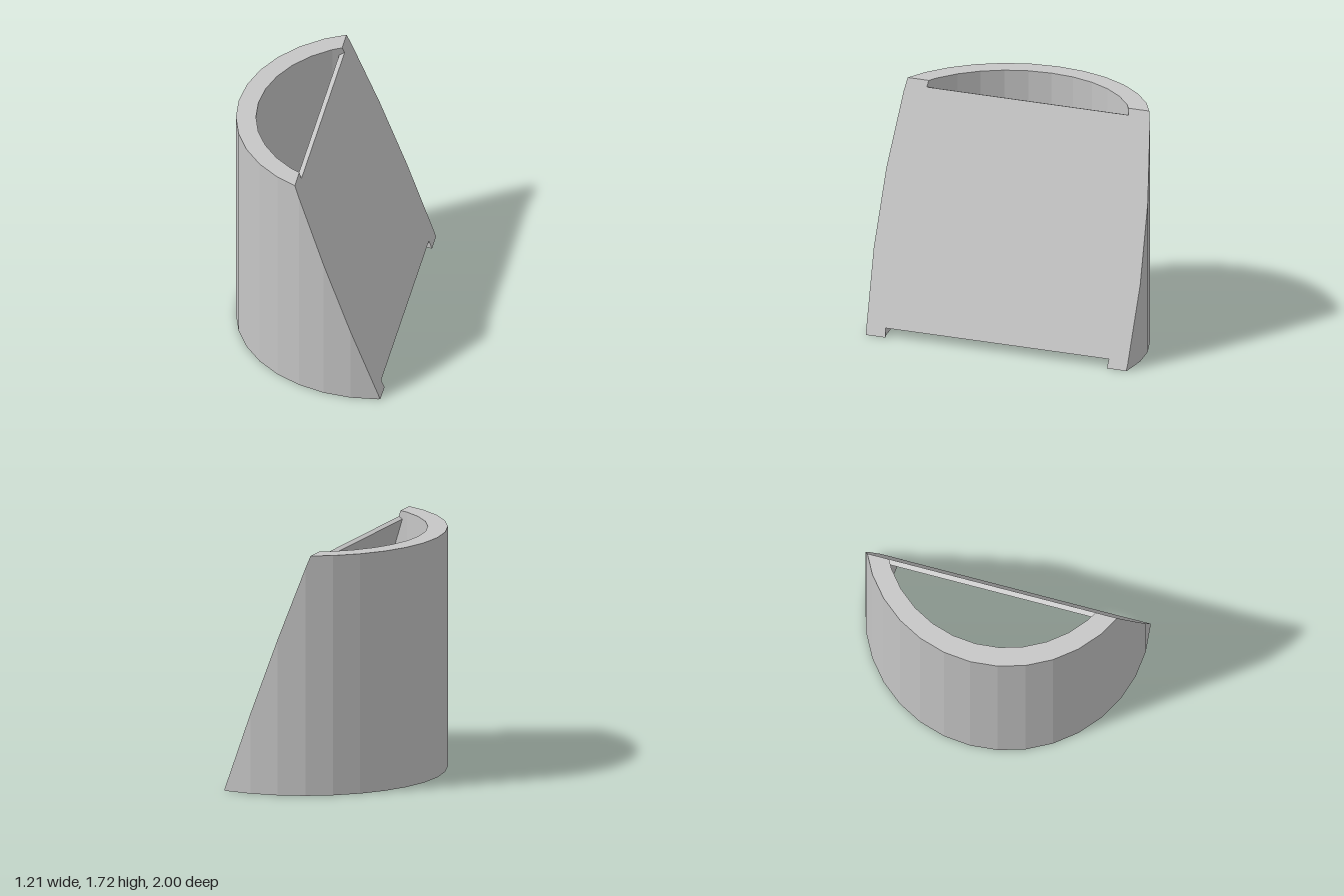
import * as THREE from 'three';

const HEIGHT = 1.715, FRONT = 0.605, TOP_X = -0.02; // slanted cut runs from (FRONT, 0) to (TOP_X, HEIGHT)
const CENTRE = 0.395, OUTER = 1, INNER = 0.86, STEP = Math.PI / 16;
const SLOPE = (FRONT - TOP_X) / HEIGHT;

const cutHeight = (x) => Math.min(HEIGHT, (FRONT - x) / SLOPE);

// Half of a faceted arc as [x, z], from the back of the curve to the front edge,
// with extra points where the cut starts and ends
function halfArc(radius) {
  const corner = (k) => [CENTRE - radius * Math.cos(k * STEP), radius * Math.sin(k * STEP)];
  const points = [corner(0)];
  for (let k = 1; k <= 10; k++) {
    const a = corner(k - 1), b = corner(k);
    for (const x of [TOP_X, FRONT]) {
      if (a[0] < x && b[0] >= x) {
        const t = (x - a[0]) / (b[0] - a[0]);
        points.push([x, a[1] + t * (b[1] - a[1])]);
      }
    }
    if (b[0] < FRONT) points.push(b);
  }
  return points;
}

// Full arc, mirrored across z = 0
function fullArc(radius) {
  const half = halfArc(radius);
  const mirrored = half.slice(1).reverse().map(([x, z]) => [x, -z]);
  return [...mirrored, ...half];
}

// Curved wall: a four-cornered section swept along the arc, its top following the cut
function wallGeometry() {
  const outer = fullArc(OUTER), inner = fullArc(INNER);
  const sections = outer.map(([ox, oz], i) => {
    const [ix, iz] = inner[i];
    return [[ox, 0, oz], [ox, cutHeight(ox), oz], [ix, cutHeight(ix), iz], [ix, 0, iz]];
  });
  const positions = [];
  for (let i = 0; i < sections.length - 1; i++) {
    const s = sections[i], n = sections[i + 1];
    for (let j = 0; j < 4; j++) {
      const k = (j + 1) % 4;
      positions.push(...s[j], ...n[j], ...n[k], ...s[j], ...n[k], ...s[k]);
    }
  }
  const geometry = new THREE.BufferGeometry();
  geometry.setAttribute('position', new THREE.Float32BufferAttribute(positions, 3));
  geometry.computeVertexNormals();
  return geometry;
}

export function createModel() {
  const model = new THREE.Group();
  const grey = new THREE.MeshStandardMaterial({ color: 0xc6c6c6, flatShading: true, side: THREE.DoubleSide });
  grey.name = 'grey';

  const wall = new THREE.Mesh(wallGeometry(), grey);
  wall.name = 'curvedWall';
  model.add(wall);

  // Thin plate set flush into the slanted cut
  const low = 0.062, high = 1.67, thickness = 0.037;
  const tilt = Math.atan(SLOPE), mid = (low + high) / 2;
  const plate = new THREE.Mesh(
    new THREE.BoxGeometry(thickness, (high - low) / Math.cos(tilt), 2 * INNER), grey);
  plate.name = 'slantedPlate';
  plate.rotation.z = tilt;
  plate.position.set(
    FRONT - SLOPE * mid - Math.cos(tilt) * thickness / 2,
    mid - Math.sin(tilt) * thickness / 2, 0);
  model.add(plate);

  return model;
}
